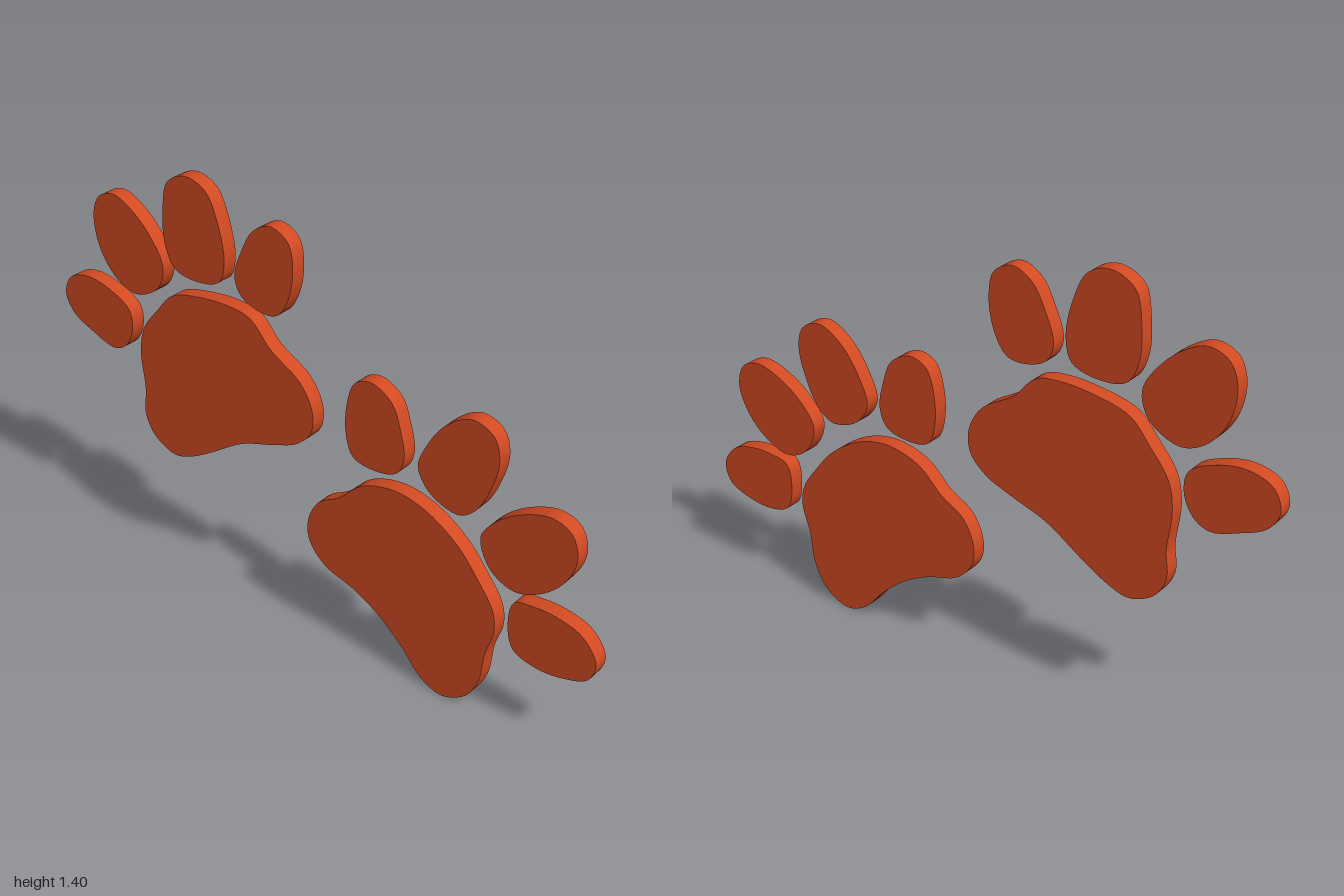
import * as THREE from 'three';
import { toCreasedNormals } from 'three/addons/utils/BufferGeometryUtils.js';

const DEPTH = 0.05;

// Flat plate cut along a smooth closed outline through x,y pairs
function plate(name, material, xy) {
  const points = [];
  for (let i = 0; i < xy.length; i += 2) points.push(new THREE.Vector3(xy[i], xy[i + 1], 0));
  const outline = new THREE.CatmullRomCurve3(points, true, 'centripetal').getPoints(points.length * 5);
  outline.pop();
  const shape = new THREE.Shape(outline.map((p) => new THREE.Vector2(p.x, p.y)));
  const geometry = new THREE.ExtrudeGeometry(shape, { depth: DEPTH, bevelEnabled: false });
  geometry.translate(0, 0, -DEPTH / 2);
  const mesh = new THREE.Mesh(toCreasedNormals(geometry, 0.6), material);
  mesh.name = name;
  return mesh;
}

// One paw print: main pad plus four toes
function paw(name, material, pad, toes) {
  const group = new THREE.Group();
  group.name = name;
  group.add(plate('pad', material, pad));
  toes.forEach((toe, i) => group.add(plate(`toe${i + 1}`, material, toe)));
  return group;
}

// Upper paw outlines
const upperPad = [
  -0.305, 1.04, -0.225, 1.025, -0.15, 0.95, -0.04, 0.88, 0.005, 0.8, 0, 0.725, -0.055, 0.667,
  -0.14, 0.63, -0.27, 0.583, -0.4, 0.5, -0.49, 0.45, -0.555, 0.433, -0.636, 0.47, -0.674, 0.54,
  -0.668, 0.63, -0.68, 0.755, -0.663, 0.845, -0.6, 0.93, -0.535, 1.0, -0.43, 1.03,
];
const upperToes = [
  [-1, 0.86, -0.973, 0.925, -0.893, 0.952, -0.8, 0.936, -0.722, 0.893,
    -0.711, 0.829, -0.743, 0.76, -0.797, 0.733, -0.888, 0.76, -0.968, 0.8],
  [-0.85, 1.171, -0.824, 1.241, -0.759, 1.267, -0.684, 1.235, -0.61, 1.166,
    -0.567, 1.086, -0.594, 1.005, -0.69, 0.957, -0.765, 0.984, -0.829, 1.064],
  [-0.556, 1.289, -0.535, 1.369, -0.46, 1.406, -0.385, 1.38, -0.342, 1.294,
    -0.321, 1.182, -0.342, 1.107, -0.428, 1.08, -0.519, 1.096, -0.556, 1.171],
  [-0.144, 1.342, -0.08, 1.31, -0.064, 1.235, -0.08, 1.139, -0.123, 1.07,
    -0.176, 1.059, -0.257, 1.086, -0.283, 1.144, -0.251, 1.241, -0.209, 1.31],
];

// Lower paw outlines
const lowerPad = [
  0.305, 0.652, 0.417, 0.631, 0.53, 0.561, 0.604, 0.476, 0.658, 0.396, 0.668, 0.326, 0.642, 0.235,
  0.626, 0.128, 0.583, 0.048, 0.497, 0.005, 0.422, 0.032, 0.342, 0.118, 0.251, 0.193, 0.16, 0.241,
  0.053, 0.278, -0.005, 0.342, -0.012, 0.412, 0.027, 0.494, 0.107, 0.545, 0.19, 0.62,
];
const lowerToes = [
  [0.219, 0.973, 0.289, 0.936, 0.321, 0.861, 0.337, 0.77, 0.31, 0.711,
    0.225, 0.69, 0.155, 0.706, 0.128, 0.781, 0.134, 0.888, 0.16, 0.952],
  [0.561, 0.984, 0.631, 0.957, 0.652, 0.888, 0.626, 0.781, 0.578, 0.695,
    0.524, 0.663, 0.428, 0.695, 0.385, 0.765, 0.412, 0.845, 0.476, 0.936],
  [0.829, 0.781, 0.893, 0.754, 0.914, 0.679, 0.877, 0.588, 0.802, 0.519,
    0.722, 0.492, 0.642, 0.529, 0.604, 0.62, 0.642, 0.684, 0.727, 0.749],
  [0.866, 0.471, 0.952, 0.444, 1, 0.374, 0.979, 0.31, 0.909, 0.278,
    0.813, 0.267, 0.733, 0.294, 0.711, 0.374, 0.727, 0.455, 0.791, 0.471],
];

export function createModel() {
  const orange = new THREE.MeshStandardMaterial({ color: 0xd24a22 });
  orange.name = 'burnt orange';
  const model = new THREE.Group();
  model.name = 'pawPrints';
  model.add(paw('upperPaw', orange, upperPad, upperToes));
  model.add(paw('lowerPaw', orange, lowerPad, lowerToes));
  return model;
}
